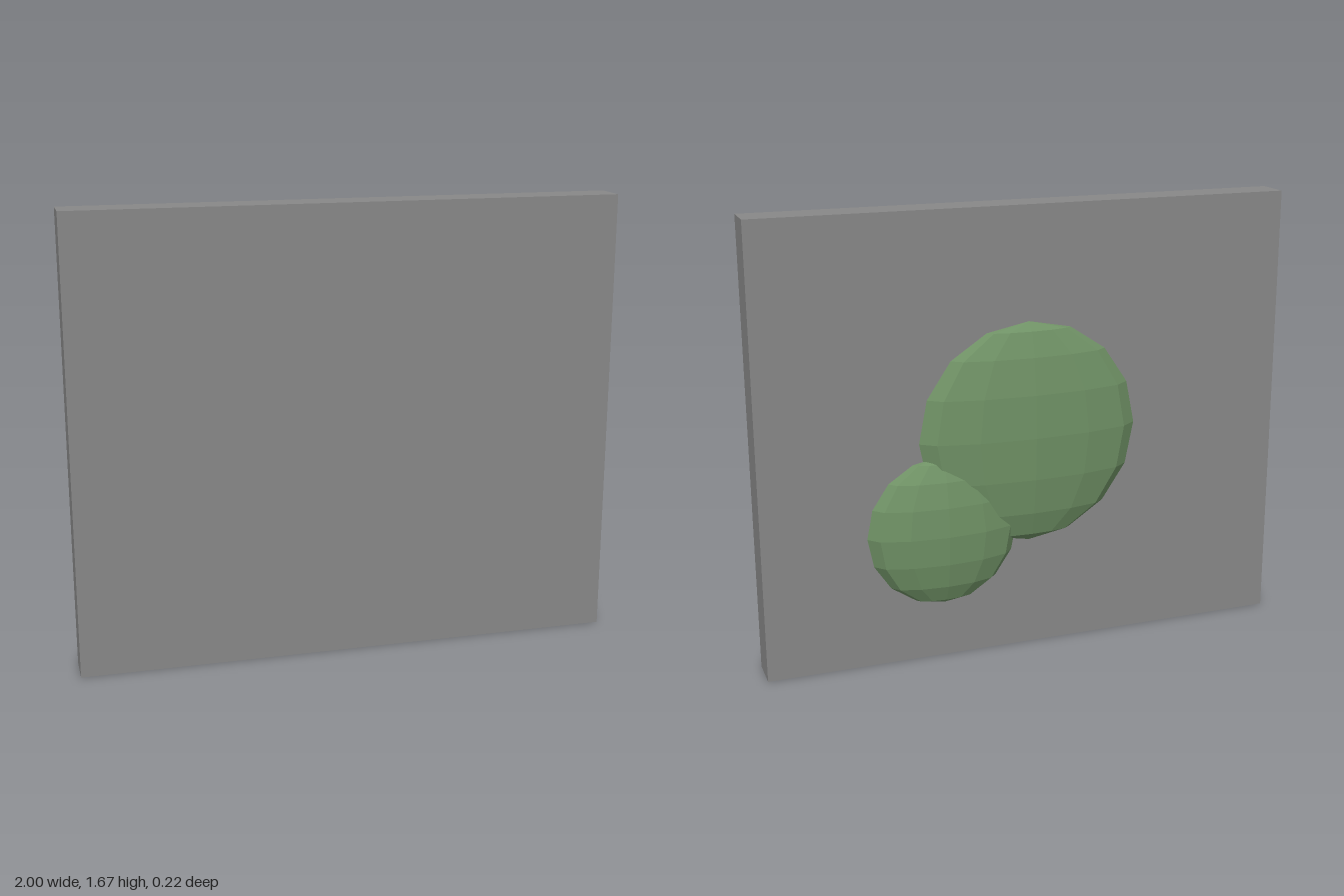
import * as THREE from 'three';

export function createModel() {
  const model = new THREE.Group();
  const grey = new THREE.MeshStandardMaterial({ name: 'stone grey', color: 0x888888, flatShading: true });
  const green = new THREE.MeshStandardMaterial({ name: 'moss green', color: 0x6f9165, flatShading: true });

  // Upright slab
  const slab = new THREE.Mesh(new THREE.BoxGeometry(2, 1.667, 0.133), grey);
  slab.name = 'slab';
  slab.position.set(0, 0.8335, 0.0415);
  model.add(slab);

  // Flattened low-poly mound bulging from the back of the slab
  const addMound = (name, x, y, radius) => {
    const geometry = new THREE.SphereGeometry(1, 12, 8);
    geometry.scale(radius, radius, 0.083);
    const mound = new THREE.Mesh(geometry, green);
    mound.name = name;
    mound.position.set(x, y, -0.025);
    model.add(mound);
  };
  addMound('largeMossPatch', 0, 0.833, 0.417);
  addMound('smallMossPatch', 0.333, 0.496, 0.284);

  return model;
}
